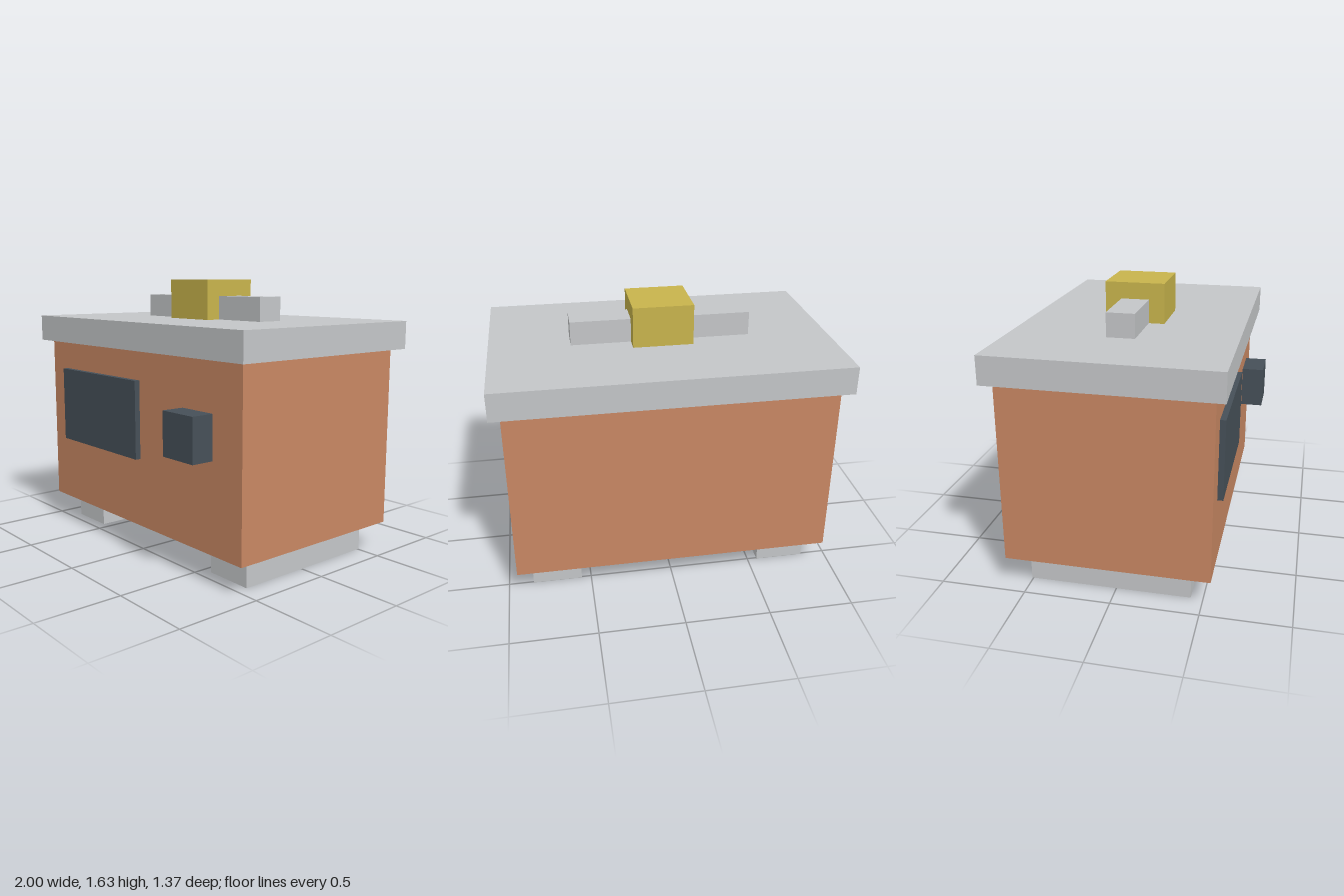
import * as THREE from 'three';

const paint = (name, color) => {
  const m = new THREE.MeshStandardMaterial({ color });
  m.name = name;
  return m;
};

export function createModel() {
  const grey = paint('light grey', 0xc4c6c8);
  const terracotta = paint('terracotta', 0xc88763);
  const slate = paint('slate', 0x465058);
  const ochre = paint('ochre', 0xc8b44c);

  const model = new THREE.Group();
  model.name = 'box';

  // Block given by its extents along each axis
  const block = (name, material, [x0, x1], [y0, y1], [z0, z1]) => {
    const mesh = new THREE.Mesh(new THREE.BoxGeometry(x1 - x0, y1 - y0, z1 - z0), material);
    mesh.position.set((x0 + x1) / 2, (y0 + y1) / 2, (z0 + z1) / 2);
    mesh.name = name;
    model.add(mesh);
  };

  // Runners under the body
  for (const [name, side] of [['leftFoot', 1], ['rightFoot', -1]]) {
    const x = side * 0.705;
    block(name, grey, [x - 0.147, x + 0.147], [0, 0.17], [-0.508, 0.43]);
  }

  // Body and overhanging lid
  block('body', terracotta, [-0.94, 0.94], [0.17, 1.227], [-0.628, 0.55]);
  block('lid', grey, [-1, 1], [1.227, 1.39], [-0.686, 0.605]);

  // Handle bar through a central grip
  block('handleBar', grey, [-0.528, 0.528], [1.39, 1.53], [-0.122, 0.042]);
  block('handleGrip', ochre, [-0.176, 0.176], [1.39, 1.627], [-0.217, 0.135]);

  // Front panel and knob
  block('frontPanel', slate, [-0.765, 0.055], [0.582, 1.05], [0.55, 0.583]);
  block('frontKnob', slate, [0.46, 0.712], [0.69, 0.942], [0.55, 0.686]);

  return model;
}
